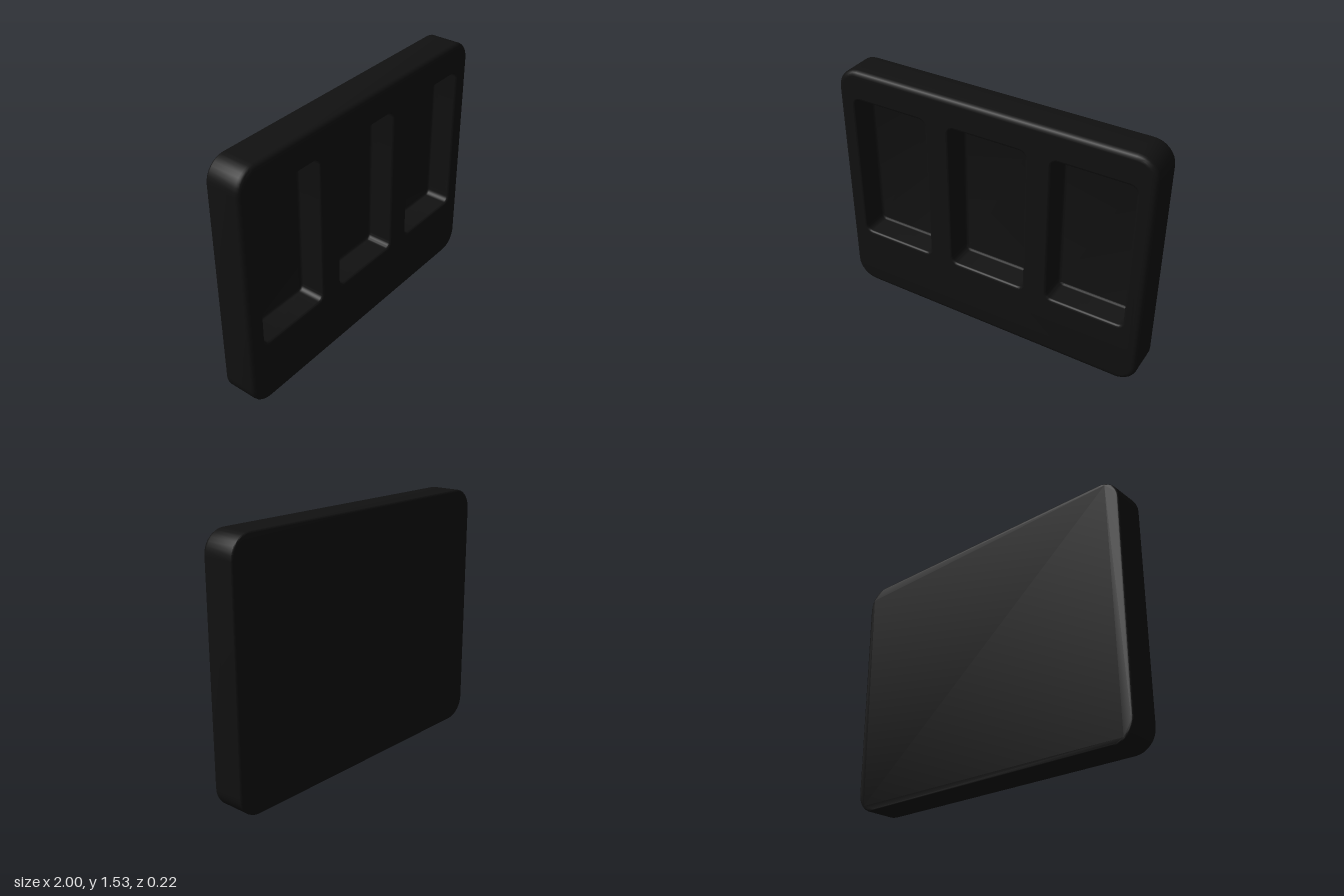
import * as THREE from 'three';
import { mergeGeometries, toCreasedNormals } from 'three/addons/utils/BufferGeometryUtils.js';

const H = 1.535, HALF_Z = 0.11, FLOOR_Z = -0.055;
const CORNER_STEPS = 8, ROUND_STEPS = 4;

// Rounded rectangle, counter-clockwise; inset also shrinks the corner radius
function outline({ x, y, w, h, r }, inset = 0) {
  const pts = [];
  [[1, 1], [-1, 1], [-1, -1], [1, -1]].forEach(([sx, sy], c) => {
    for (let i = 0; i <= CORNER_STEPS; i++) {
      const a = (c + i / CORNER_STEPS) * Math.PI / 2;
      pts.push(new THREE.Vector2(
        x + sx * (w / 2 - r) + Math.cos(a) * (r - inset),
        y + sy * (h / 2 - r) + Math.sin(a) * (r - inset)));
    }
  });
  return pts;
}

// Wall joining outlines along a profile of [inset, z] pairs
function skin(rect, profile) {
  const pos = [], index = [];
  const rings = profile.map(([inset]) => outline(rect, inset));
  const n = rings[0].length;
  rings.forEach((ring, k) => ring.forEach(p => pos.push(p.x, p.y, profile[k][1])));
  for (let k = 0; k < rings.length - 1; k++) {
    for (let j = 0; j < n; j++) {
      const a = k * n + j, b = k * n + (j + 1) % n;
      index.push(a, b, b + n, a, b + n, a + n);
    }
  }
  const g = new THREE.BufferGeometry();
  g.setAttribute('position', new THREE.Float32BufferAttribute(pos, 3));
  g.setIndex(index);
  return g.toNonIndexed();
}

// Flat face with optional openings
function face(rect, inset, z, holes = []) {
  const s = new THREE.Shape(outline(rect, inset));
  holes.forEach(h => s.holes.push(new THREE.Path(h)));
  const g = new THREE.ShapeGeometry(s).toNonIndexed();
  g.deleteAttribute('uv');
  g.deleteAttribute('normal');
  return g.translate(0, 0, z);
}

// Quarter-round profile between two angles
function arc(ci, cz, r, from, to) {
  return Array.from({ length: ROUND_STEPS + 1 }, (_, i) => {
    const a = THREE.MathUtils.lerp(from, to, i / ROUND_STEPS);
    return [ci + r * Math.cos(a), cz + r * Math.sin(a)];
  });
}

export function createModel() {
  const group = new THREE.Group();
  const material = new THREE.MeshStandardMaterial({ color: 0x111111 });
  const add = (name, parts) => {
    const mesh = new THREE.Mesh(toCreasedNormals(mergeGeometries(parts), 0.6), material);
    mesh.name = name;
    mesh.position.y = H / 2;
    group.add(mesh);
  };

  const body = { x: 0, y: 0, w: 2, h: H, r: 0.13 };
  const front = 0.03, back = 0.012, lip = 0.015, fillet = 0.015;
  const recesses = [-0.647, 0, 0.647].map(x => ({ x, y: 0.11, w: 0.49, h: 0.945, r: 0.04 }));

  // Panel: side wall with rounded edges, pierced front, plain back
  add('panel', [
    skin(body, [
      ...arc(back, -HALF_Z + back, back, -Math.PI / 2, -Math.PI).map(([i, z]) => [i, z]),
      ...arc(front, HALF_Z - front, front, Math.PI, Math.PI / 2),
    ]),
    face(body, front, HALF_Z, recesses.map(r => outline(r, -lip))),
    face(body, back, 0, []).rotateY(Math.PI).translate(0, 0, -HALF_Z),
  ]);

  // Three window recesses: rounded lip, walls, filleted floor
  ['rightRecess', 'middleRecess', 'leftRecess'].forEach((name, i) => add(name, [
    skin(recesses[i], [
      ...arc(-lip, HALF_Z - lip, lip, Math.PI / 2, 0),
      ...arc(fillet, FLOOR_Z + fillet, fillet, Math.PI, Math.PI * 1.5),
    ]),
    face(recesses[i], fillet, FLOOR_Z),
  ]));
  return group;
}
